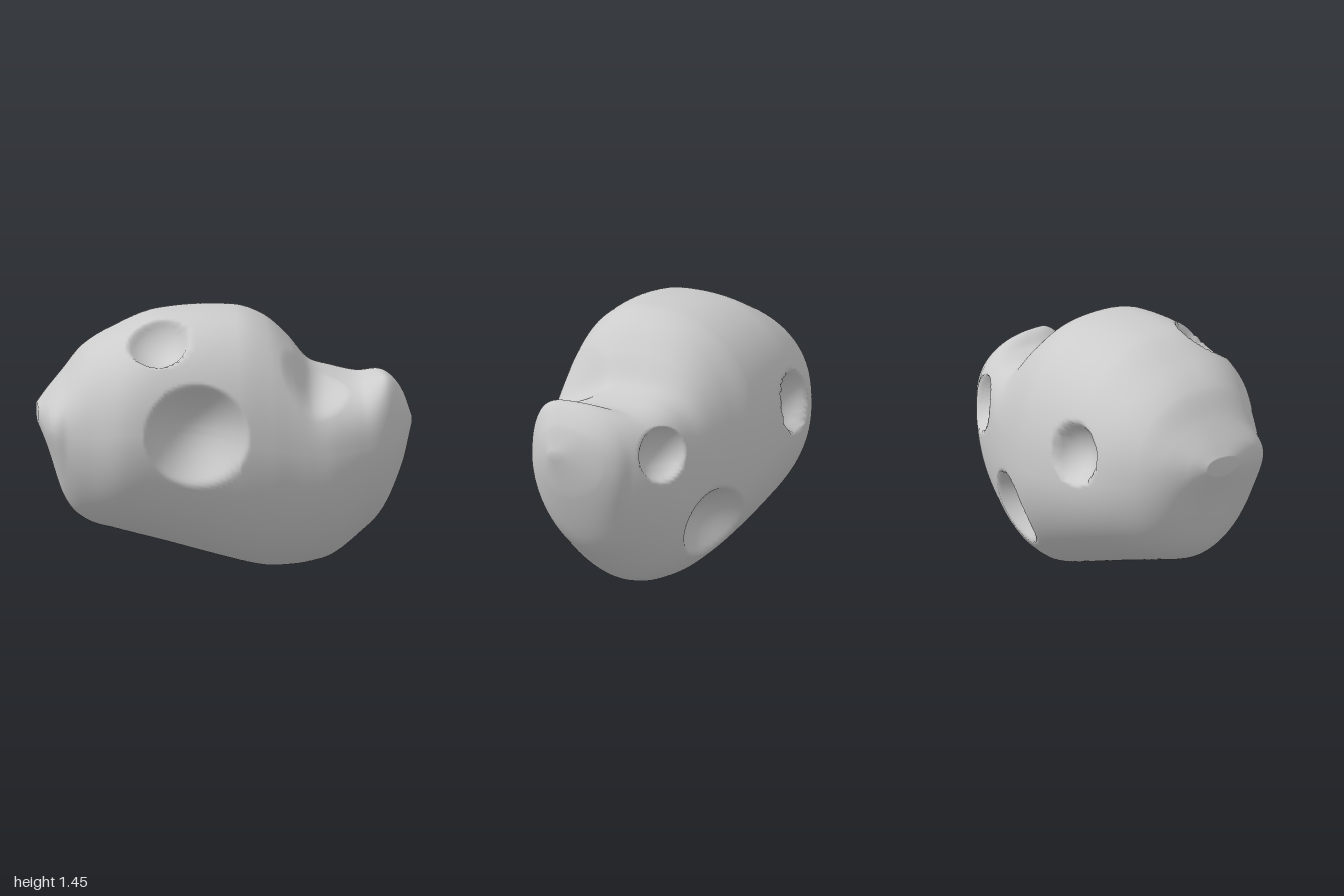
import * as THREE from 'three';

// Cross-sections along x. Each one is four quarter arcs through its extreme points:
// [x, topY, topZ, bottomY, bottomZ, frontZ, frontY, backZ, backY]
const sections = [
  [-1.0, 0.91, -0.04, 0.81, -0.03, 0.08, 0.86, -0.14, 0.86],
  [-0.95, 0.975, -0.03, 0.68, -0.02, 0.285, 0.84, -0.235, 0.84],
  [-0.86, 1.085, 0.0, 0.41, 0.0, 0.35, 0.82, -0.36, 0.81],
  [-0.75, 1.225, 0.03, 0.285, 0.0, 0.42, 0.82, -0.45, 0.78],
  [-0.57, 1.34, 0.07, 0.225, 0.0, 0.53, 0.85, -0.53, 0.75],
  [-0.35, 1.43, 0.09, 0.165, 0.0, 0.56, 0.85, -0.56, 0.72],
  [0.05, 1.45, 0.1, 0.05, 0.0, 0.57, 0.80, -0.545, 0.68],
  [0.22, 1.39, 0.08, 0.008, -0.02, 0.555, 0.76, -0.485, 0.68],
  [0.35, 1.27, 0.05, 0.008, -0.02, 0.535, 0.74, -0.435, 0.70],
  [0.46, 1.13, 0.0, 0.025, -0.01, 0.52, 0.72, -0.395, 0.72],
  [0.58, 1.08, -0.04, 0.07, 0.02, 0.505, 0.72, -0.35, 0.74],
  [0.72, 1.065, 0.05, 0.19, 0.06, 0.47, 0.74, -0.295, 0.76],
  [0.85, 1.11, 0.25, 0.345, 0.12, 0.42, 0.78, -0.19, 0.78],
  [0.95, 1.01, 0.22, 0.60, 0.18, 0.33, 0.82, -0.07, 0.80],
  [1.0, 0.87, 0.22, 0.83, 0.22, 0.24, 0.85, 0.19, 0.85],
];

// Craters: centre on the surface, outward direction, radius, depth, rim power
const craters = [
  { at: [-0.18, 0.85, 0.55], dir: [-0.05, 0.0, 1], r: 0.28, depth: 0.19, rim: 1.1 },
  { at: [-0.365, 1.295, 0.33], dir: [-0.22, 0.78, 0.55], r: 0.165, depth: 0.13, rim: 0.8 },
  { at: [-0.37, 0.88, -0.54], dir: [-0.15, 0.15, -1], r: 0.165, depth: 0.13, rim: 0.8 },
  { at: [0.3, 0.36, -0.4], dir: [0.18, -0.36, -0.9], r: 0.21, depth: 0.14, rim: 1.1 },
  { at: [0.68, 0.835, -0.27], dir: [0.55, 0.25, -0.8], r: 0.15, depth: 0.12, rim: 0.8 },
  { at: [0.46, 1.05, 0.33], dir: [0.1, 0.9, 0.35], r: 0.2, depth: 0.05, rim: 1.5 },
].map((c) => ({
  ...c,
  at: new THREE.Vector3(...c.at),
  dir: new THREE.Vector3(...c.dir).normalize(),
}));

// Slope of one section value along x; the end sections use their only neighbour
function slope(i, k) {
  const a = sections[Math.max(i - 1, 0)];
  const b = sections[Math.min(i + 1, sections.length - 1)];
  return (b[k] - a[k]) / (b[0] - a[0]);
}

// Smooth interpolation between neighbouring, unevenly spaced sections
function spline(i, t, k) {
  const a = sections[i], b = sections[i + 1];
  const dx = b[0] - a[0], t2 = t * t, t3 = t2 * t;
  return (2 * t3 - 3 * t2 + 1) * a[k] + (t3 - 2 * t2 + t) * dx * slope(i, k)
    + (3 * t2 - 2 * t3) * b[k] + (t3 - t2) * dx * slope(i + 1, k);
}

// Point of one section at a given angle, from front (0) over the top
function sectionPoint(s, angle) {
  const [x, topY, topZ, bottomY, bottomZ, frontZ, frontY, backZ, backY] = s;
  const cos = Math.cos(angle), sin = Math.sin(angle);
  const upper = sin >= 0, front = cos >= 0;
  // The saddle is flatter on top than the rest
  const upperPower = 0.86 - 0.16 * Math.exp(-(((x - 0.62) / 0.18) ** 2));
  const power = upper ? upperPower : front ? 1.1 : 1;
  const cz = upper ? topZ : bottomZ, cy = front ? frontY : backY;
  return new THREE.Vector3(
    x,
    cy + ((upper ? topY : bottomY) - cy) * Math.abs(sin) ** power,
    cz + ((front ? frontZ : backZ) - cz) * Math.abs(cos) ** power,
  );
}

// Push a surface point inwards to form the crater bowls
function carve(p) {
  for (const { at, dir, r, depth, rim } of craters) {
    const v = p.clone().sub(at);
    const h = v.dot(dir);
    const t = v.addScaledVector(dir, -h).length() / r;
    if (t < 1 && h > -0.3) p.addScaledVector(dir, -depth * (1 - t * t) ** rim);
  }
  return p;
}

function rockGeometry(steps = 14, around = 220) {
  const positions = [], index = [];
  const rings = (sections.length - 1) * steps + 1;
  for (let n = 0; n < rings; n++) {
    const i = Math.min(Math.floor(n / steps), sections.length - 2);
    const s = sections[0].map((_, k) => spline(i, n / steps - i, k));
    for (let j = 0; j < around; j++) {
      positions.push(...carve(sectionPoint(s, (j / around) * Math.PI * 2)).toArray());
    }
  }
  for (let n = 0; n < rings - 1; n++) {
    for (let j = 0; j < around; j++) {
      const a = n * around + j, c = n * around + ((j + 1) % around);
      index.push(a, a + around, c, a + around, c + around, c);
    }
  }
  // Close both ends
  const left = rings * around, right = left + 1, last = (rings - 1) * around;
  positions.push(-1, 0.86, -0.03, 1, 0.85, 0.22);
  for (let j = 0; j < around; j++) {
    const k = (j + 1) % around;
    index.push(left, j, k, right, last + k, last + j);
  }
  const geometry = new THREE.BufferGeometry();
  geometry.setAttribute('position', new THREE.Float32BufferAttribute(positions, 3));
  geometry.setIndex(index);
  geometry.computeVertexNormals();
  return geometry;
}

export function createModel() {
  const group = new THREE.Group();
  group.name = 'asteroid';
  const rock = new THREE.Mesh(rockGeometry(), new THREE.MeshStandardMaterial({ color: 0xcccccc }));
  rock.name = 'crateredRock';
  group.add(rock);
  return group;
}
